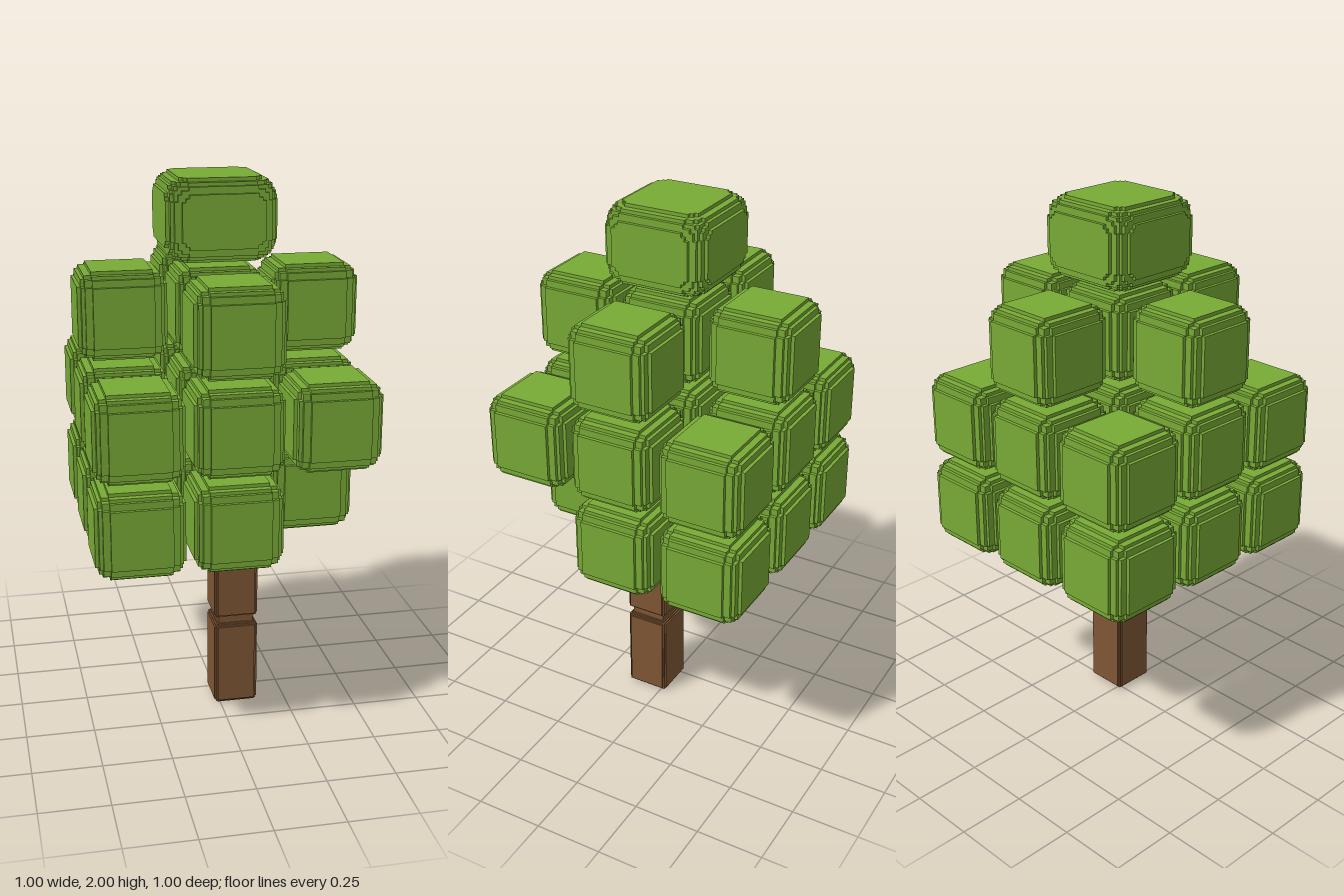
import * as THREE from 'three';
import { mergeGeometries } from 'three/addons/utils/BufferGeometryUtils.js';

// Voxel-style rounded block: overlapping boxes whose half sizes are the core
// plus every ordering of the given step counts.
function steppedBlock(core, unit, steps) {
  const boxes = [];
  for (const [a, b, c] of steps) {
    const orders = [[a, b, c], [a, c, b], [b, a, c], [b, c, a], [c, a, b], [c, b, a]];
    const unique = new Map(orders.map((o) => [o.join(), o]));
    for (const o of unique.values()) {
      boxes.push(new THREE.BoxGeometry(...o.map((n, i) => 2 * (core[i] + n * unit))));
    }
  }
  return mergeGeometries(boxes);
}

export function createModel() {
  const tree = new THREE.Group();
  tree.name = 'tree';

  const leafGreen = new THREE.MeshStandardMaterial({ color: 0x78aa35 });
  leafGreen.name = 'leaf green';
  const barkBrown = new THREE.MeshStandardMaterial({ color: 0x7f5634 });
  barkBrown.name = 'bark brown';

  const add = (parent, name, geometry, material, x, y, z) => {
    const mesh = new THREE.Mesh(geometry, material);
    mesh.name = name;
    mesh.position.set(x, y, z);
    parent.add(mesh);
  };

  // Trunk: two stacked segments and a narrow joint, set off centre
  const trunk = new THREE.Group();
  trunk.name = 'trunk';
  tree.add(trunk);
  const segment = steppedBlock([0.07, 0.153, 0.07], 0.006, [[2, 0, 0], [1, 1, 1]]);
  add(trunk, 'lowerTrunk', segment, barkBrown, 0.06, 0.165, 0.06);
  add(trunk, 'upperTrunk', segment, barkBrown, 0.06, 0.52, 0.06);
  add(trunk, 'trunkJoint', new THREE.BoxGeometry(0.13, 0.04, 0.13), barkBrown, 0.06, 0.3425, 0.06);

  // Foliage: 3 x 3 layers; the bottom lacks one corner, the top lacks all four
  const foliage = new THREE.Group();
  foliage.name = 'foliage';
  tree.add(foliage);
  const pitch = 0.343;
  const leaf = steppedBlock([0.107, 0.107, 0.107], 0.0125, [[4, 0, 0], [3, 2, 0], [2, 2, 2]]);
  const layers = [
    { name: 'lowerLeaves', y: 0.845, has: (i, k) => !(i === 1 && k === 1) },
    { name: 'middleLeaves', y: 1.187, has: () => true },
    { name: 'upperLeaves', y: 1.53, has: (i, k) => i === 0 || k === 0 },
  ];
  for (const layer of layers) {
    for (let i = -1; i <= 1; i++) {
      for (let k = -1; k <= 1; k++) {
        if (layer.has(i, k)) add(foliage, layer.name, leaf, leafGreen, i * pitch, layer.y, k * pitch);
      }
    }
  }

  // Crown: wider, flatter block with a rounder edge
  const crown = steppedBlock([0.12, 0.069, 0.12], 0.0125,
    [[6, 2, 0], [6, 1, 1], [5, 4, 0], [5, 3, 2], [4, 4, 3]]);
  add(foliage, 'crown', crown, leafGreen, 0, 1.856, 0);

  return tree;
}
